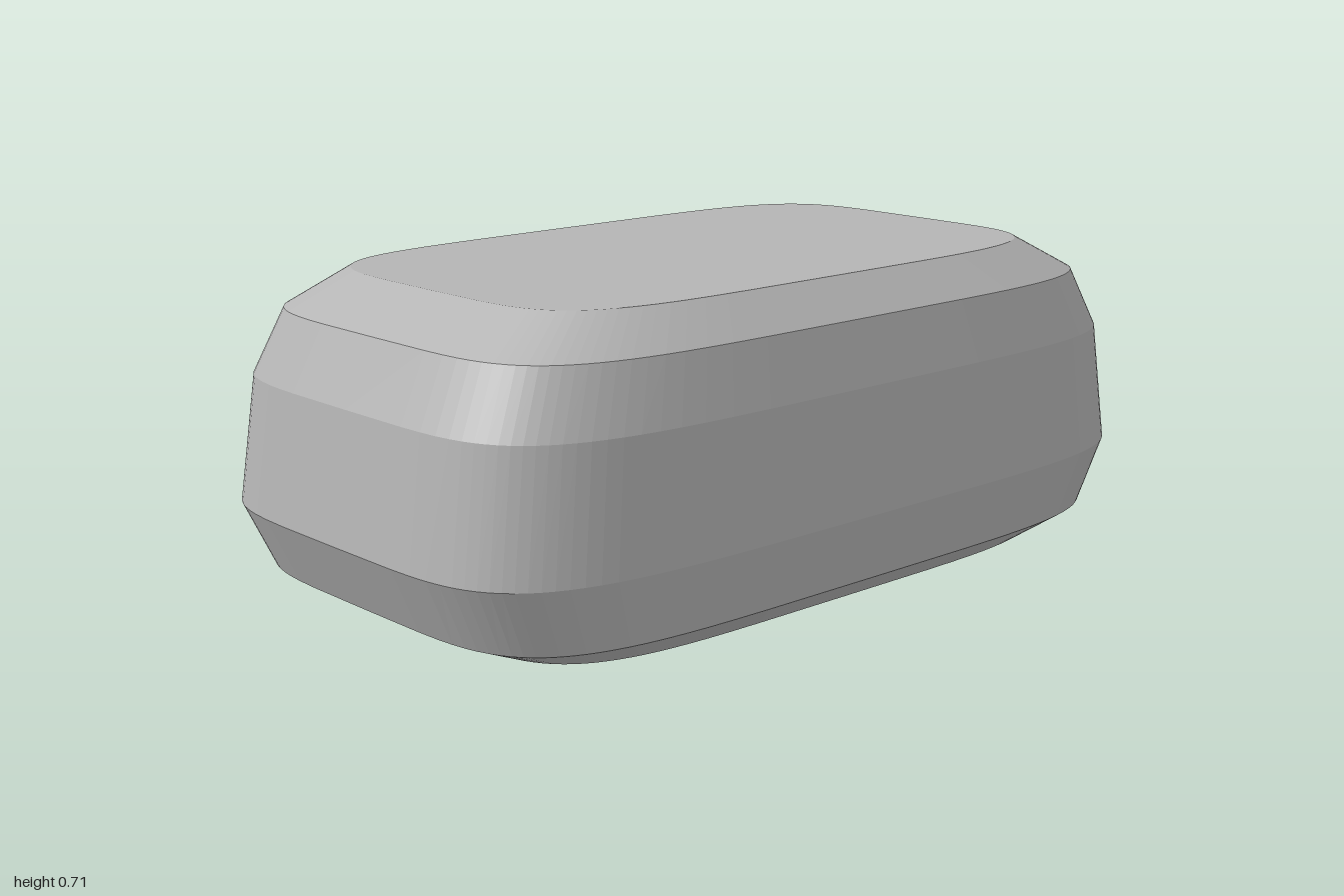
import * as THREE from 'three';

const SEGMENTS = 96;
const ROUNDNESS = 0.4; // superellipse power: small values give squarer corners

// Cross-sections from bottom to top: height, half width, half depth
const RINGS = [
  [0, 0.80, 0.49],
  [0.06, 0.93, 0.565],
  [0.21, 1.0, 0.59],
  [0.49, 0.96, 0.575],
  [0.63, 0.89, 0.54],
  [0.71, 0.75, 0.455],
];

const soften = (v) => (Math.abs(v) < 1e-9 ? 0 : Math.sign(v) * Math.abs(v) ** ROUNDNESS);

function loftGeometry() {
  const positions = [];
  const index = [];
  for (const [y, halfWidth, halfDepth] of RINGS) {
    for (let i = 0; i < SEGMENTS; i++) {
      const a = (i / SEGMENTS) * Math.PI * 2;
      positions.push(halfWidth * soften(Math.cos(a)), y, halfDepth * soften(Math.sin(a)));
    }
  }

  // Side bands
  for (let r = 0; r < RINGS.length - 1; r++) {
    for (let i = 0; i < SEGMENTS; i++) {
      const j = (i + 1) % SEGMENTS;
      const a = r * SEGMENTS + i, b = r * SEGMENTS + j;
      const c = a + SEGMENTS, d = b + SEGMENTS;
      index.push(a, c, b, b, c, d);
    }
  }

  // Flat underside and top
  const bottom = positions.length / 3;
  const top = bottom + 1;
  const topRing = (RINGS.length - 1) * SEGMENTS;
  positions.push(0, RINGS[0][0], 0, 0, RINGS[RINGS.length - 1][0], 0);
  for (let i = 0; i < SEGMENTS; i++) {
    const j = (i + 1) % SEGMENTS;
    index.push(bottom, i, j, top, topRing + j, topRing + i);
  }

  const geometry = new THREE.BufferGeometry();
  geometry.setAttribute('position', new THREE.Float32BufferAttribute(positions, 3));
  geometry.setIndex(index);
  geometry.computeVertexNormals();
  return geometry;
}

export function createModel() {
  const group = new THREE.Group();
  group.name = 'roundedBlock';
  const grey = new THREE.MeshStandardMaterial({ color: 0xb4b4b4, flatShading: true });
  grey.name = 'grey';
  const body = new THREE.Mesh(loftGeometry(), grey);
  body.name = 'body';
  group.add(body);
  return group;
}
